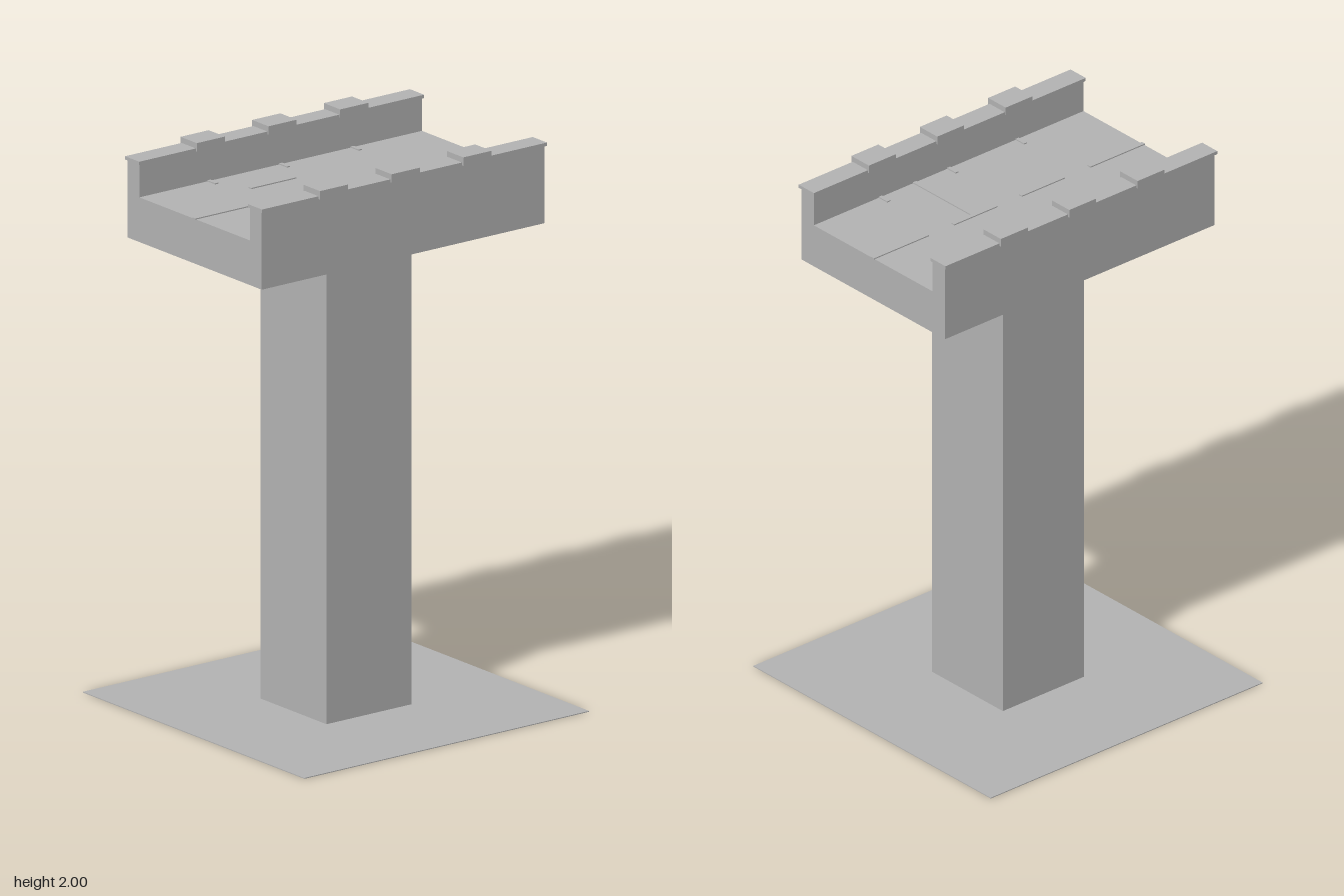
import * as THREE from 'three';

export function createModel() {
  const model = new THREE.Group();
  const stone = new THREE.MeshStandardMaterial({ color: 0xb2b2b2 });
  stone.name = 'grey stone';

  // Box given by its extents along each axis
  function box(name, [x0, x1], [y0, y1], [z0, z1]) {
    const mesh = new THREE.Mesh(new THREE.BoxGeometry(x1 - x0, y1 - y0, z1 - z0), stone);
    mesh.name = name;
    mesh.position.set((x0 + x1) / 2, (y0 + y1) / 2, (z0 + z1) / 2);
    model.add(mesh);
  }

  // Thin ground slab and square pillar
  box('groundSlab', [-0.616, 0.616], [0, 0.003], [-0.616, 0.616]);
  box('pillar', [-0.184, 0.184], [0.003, 1.69], [-0.184, 0.184]);

  // Deck with raised parapets: one U-shaped section run along x
  const section = new THREE.Shape([
    [-0.373, 1.69], [0.373, 1.69], [0.373, 1.97], [0.308, 1.97],
    [0.308, 1.85], [-0.308, 1.85], [-0.308, 1.97], [-0.373, 1.97],
  ].map(([z, y]) => new THREE.Vector2(z, y)));
  const deckGeometry = new THREE.ExtrudeGeometry(section, { depth: 1.222, bevelEnabled: false });
  deckGeometry.translate(0, 0, -0.611).rotateY(Math.PI / 2);
  const deck = new THREE.Mesh(deckGeometry, stone);
  deck.name = 'deck';
  model.add(deck);

  // Coping, cap blocks and small floor strips on both sides
  for (const side of [-1, 1]) {
    const span = (a, b) => (side > 0 ? [a, b] : [-b, -a]);
    box('coping', [-0.616, 0.616], [1.968, 1.98], span(0.302, 0.381));
    for (const x of [-0.31, 0, 0.31]) {
      box('capBlock', [x - 0.061, x + 0.061], [1.97, 2], span(0.297, 0.388));
      box('floorStrip', [x - 0.007, x + 0.007], [1.848, 1.854], span(0.264, 0.308));
    }
  }

  // Paving joints on the deck floor
  const jointY = [1.848, 1.854];
  for (const x of [[-0.614, -0.367], [-0.252, -0.056], [0.054, 0.25], [0.364, 0.614]]) {
    box('centreJoint', x, jointY, [-0.008, 0.008]);
  }
  box('sideJoint', [-0.252, -0.056], jointY, [-0.163, -0.147]);
  box('crossJoint', [0.145, 0.162], jointY, [0.008, 0.308]);

  return model;
}
